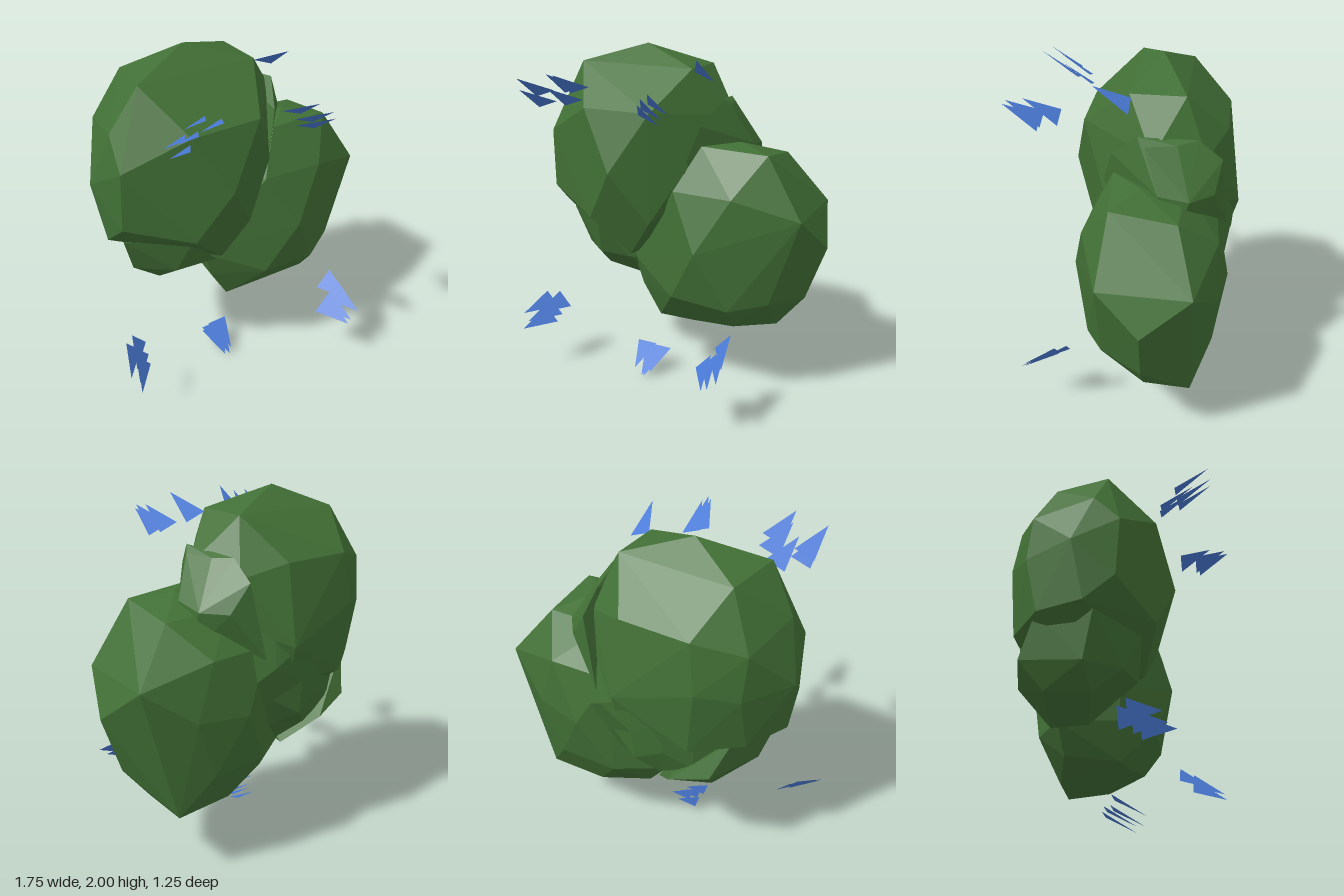
import * as THREE from 'three';
import { ConvexGeometry } from 'three/addons/geometries/ConvexGeometry.js';

const leafGreen = new THREE.MeshStandardMaterial({ color: 0x427036 });
leafGreen.name = 'leafGreen';
const petalBlue = new THREE.MeshStandardMaterial({ color: 0x4a7ad6, side: THREE.DoubleSide });
petalBlue.name = 'petalBlue';

// Faceted boulder-like clump wrapped around its corner points
function hull(name, corners) {
  const mesh = new THREE.Mesh(new ConvexGeometry(corners.map((c) => new THREE.Vector3(...c))), leafGreen);
  mesh.name = name;
  return mesh;
}

// Rugged ellipsoid with flat facets
function ruggedClump(name, center, radii, rough) {
  const geo = new THREE.IcosahedronGeometry(1, 2);
  const pos = geo.attributes.position;
  const v = new THREE.Vector3();
  for (let i = 0; i < pos.count; i++) {
    v.fromBufferAttribute(pos, i);
    const wave = Math.sin(v.x * 7 + v.y * 3) * Math.cos(v.z * 6 - v.y * 5);
    v.multiplyScalar(1 + rough * wave);
    pos.setXYZ(i, v.x * radii[0], v.y * radii[1], v.z * radii[2]);
  }
  geo.computeVertexNormals(); // unshared corners give flat facets
  const mesh = new THREE.Mesh(geo, leafGreen);
  mesh.position.set(...center);
  mesh.name = name;
  return mesh;
}

// Group of equal triangular petals: base vector, tip offset, base midpoints
function petalCluster(name, base, tip, mids) {
  const corners = [];
  for (const m of mids) {
    corners.push(
      ...m.map((c, k) => c - base[k] / 2),
      ...m.map((c, k) => c + base[k] / 2),
      ...m.map((c, k) => c + tip[k]),
    );
  }
  const geo = new THREE.BufferGeometry();
  geo.setAttribute('position', new THREE.Float32BufferAttribute(corners, 3));
  geo.computeVertexNormals();
  // Make every petal's front side face upwards
  if (geo.attributes.normal.getY(0) < 0) {
    const order = [];
    for (let i = 0; i < mids.length; i++) order.push(3 * i, 3 * i + 2, 3 * i + 1);
    geo.setIndex(order);
    geo.computeVertexNormals();
  }
  const mesh = new THREE.Mesh(geo, petalBlue);
  mesh.name = name;
  return mesh;
}

export function createModel() {
  const bush = new THREE.Group();
  bush.name = 'floweringBush';

  // Foliage: corners listed from the top of each clump to its bottom
  bush.add(
    hull('upperFoliage', [
      [-0.23, 2.0, -0.18], [-0.57, 1.9, -0.03], [0.11, 1.89, -0.04], [0.11, 1.89, -0.33], [-0.52, 1.88, -0.33],
      [-0.42, 1.68, 0.22], [-0.02, 1.68, 0.22], [-0.42, 1.67, -0.55], [-0.03, 1.67, -0.55],
      [-0.72, 1.66, -0.08], [-0.66, 1.6, -0.42], [0.14, 1.65, 0], [0.31, 1.64, -0.18], [0.2, 1.6, -0.45],
      [-0.74, 1.5, 0.06], [-0.23, 1.35, 0.305], [-0.81, 1.35, -0.18], [-0.65, 1.35, -0.45],
      [0.13, 1.35, 0.1], [0.32, 1.38, -0.2], [0.2, 1.35, -0.48], [-0.46, 1.4, -0.58],
      [-0.2, 1.3, -0.61], [-0.02, 1.25, -0.63], [-0.75, 1.16, 0.04], [-0.56, 1.13, 0.13],
      [-0.41, 1.05, 0.21], [-0.77, 1.02, -0.12], [-0.66, 1.03, -0.38], [-0.05, 1.05, 0.18],
      [-0.42, 1.02, -0.56], [-0.03, 1.02, -0.57], [-0.2, 0.83, 0.12], [-0.5, 0.86, -0.25], [-0.2, 0.78, -0.3],
    ]),
    hull('lowerFoliage', [
      [0.37, 1.5, -0.13], [0.2, 1.49, 0.03], [0.57, 1.47, 0], [0.57, 1.42, -0.34], [0.2, 1.44, -0.35],
      [0.43, 1.25, 0.165], [0.08, 1.25, 0.14], [0.43, 1.25, -0.54], [0.08, 1.25, -0.52],
      [0.78, 1.14, 0.04], [0.79, 1.14, -0.44], [-0.06, 1.25, -0.2],
      [0.87, 0.94, -0.19], [0.25, 0.94, 0.24], [0.25, 0.94, -0.6], [0.53, 0.95, -0.55], [-0.22, 0.92, -0.25],
      [-0.24, 0.78, 0],
      [0.76, 0.62, -0.19], [0.62, 0.64, 0.04], [0.6, 0.62, -0.46], [0.08, 0.63, 0.16], [0.42, 0.6, 0.15],
      [0.08, 0.62, -0.52], [0.42, 0.62, -0.54], [-0.19, 0.6, -0.02], [-0.17, 0.62, -0.36],
      [0.58, 0.39, -0.44], [0.24, 0.39, -0.42], [0.6, 0.42, -0.19], [0.42, 0.47, 0.05], [0.15, 0.43, 0],
      [-0.08, 0.41, -0.03], [-0.05, 0.46, -0.34],
    ]),
    hull('sideFoliage', [
      [0.27, 1.73, -0.1], [0.3, 1.69, -0.14], [0.26, 1.69, -0.3], [0.2, 1.7, -0.4], [0.2, 1.6, 0.04],
      [0.2, 1.6, -0.53], [0.41, 1.48, -0.22], [0.4, 1.45, -0.38], [0.3, 1.45, -0.5], [0.14, 1.42, 0.09],
      [0.42, 1.2, -0.3], [0.12, 1.2, -0.57], [0.15, 1.15, 0],
    ]),
    hull('bottomFoliage', [
      [-0.6, 1.05, -0.4], [-0.7, 1.0, -0.08], [-0.4, 1.0, 0.14], [-0.65, 0.88, -0.15], [-0.52, 0.83, -0.5],
      [-0.22, 0.8, 0.09], [-0.45, 0.78, 0.04], [-0.63, 0.76, -0.14], [-0.3, 0.76, -0.55],
      [-0.48, 0.65, -0.12], [-0.2, 0.58, -0.18], [-0.15, 0.59, -0.4], [-0.47, 0.67, -0.37],
    ]),
    ruggedClump('innerFoliage', [-0.11, 1.15, -0.28], [0.51, 0.54, 0.33], 0.08),
  );

  // Petals around the foliage
  bush.add(
    petalCluster('upperRightPetals', [0.115, 0.04, 0], [-0.045, 0.1, 0.185],
      [[-0.58, 1.765, 0.34], [-0.56, 1.71, 0.35], [-0.46, 1.71, 0.25], [-0.39, 1.8, 0.35], [-0.42, 1.78, 0.25]]),
    petalCluster('upperLeftPetals', [0.115, -0.045, 0], [0.035, 0.11, 0.18],
      [[0.095, 1.695, 0.44], [0.1, 1.72, 0.42], [0.09, 1.73, 0.33], [0.175, 1.85, -0.05]]),
    petalCluster('lowerRightPetals', [0.08, -0.09, 0], [-0.1, -0.05, 0.17],
      [[-0.72, 0.41, 0.05], [-0.78, 0.42, 0.1], [-0.75, 0.345, 0.16], [-0.74, 0.38, 0.12]]),
    petalCluster('bottomPetals', [0.125, 0, 0], [0, -0.1, 0.17],
      [[-0.185, 0.185, -0.05], [-0.155, 0.105, -0.1], [-0.11, 0.145, -0.1], [-0.145, 0.14, -0.06]]),
    petalCluster('lowerLeftPetals', [0.09, 0.1, 0], [0.065, -0.07, 0.18],
      [[0.445, 0.48, 0.26], [0.4, 0.395, 0.34], [0.45, 0.44, 0.34], [0.37, 0.385, 0.35]]),
  );
  return bush;
}
